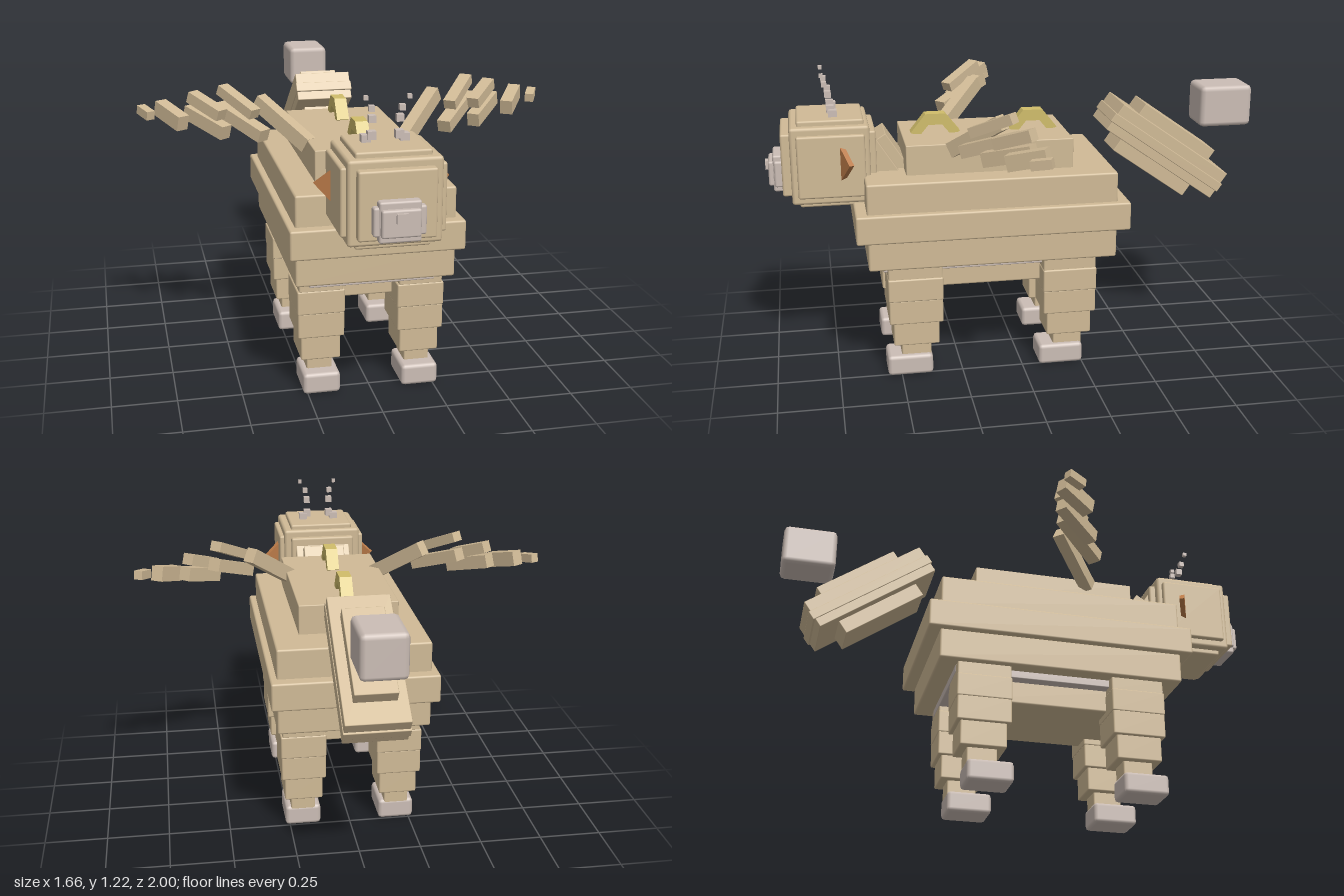
import * as THREE from 'three';
import { RoundedBoxGeometry } from 'three/addons/geometries/RoundedBoxGeometry.js';

const mat = (name, color) => {
  const m = new THREE.MeshStandardMaterial({ color });
  m.name = name;
  return m;
};

export function createModel() {
  const root = new THREE.Group();
  root.name = 'blockyWingedBeast';
  const tan = mat('tan', 0xd0ba96);
  const grey = mat('warmGrey', 0xcbbdb5);
  const gold = mat('gold', 0xd0bd6a);
  const brown = mat('earBrown', 0xba7a48);

  const group = (name, parent = root) => {
    const g = new THREE.Group();
    g.name = name;
    parent.add(g);
    return g;
  };
  const add = (name, geo, material, parent = root) => {
    const m = new THREE.Mesh(geo, material);
    m.name = name;
    parent.add(m);
    return m;
  };
  // box given by its limits on each axis, with an optional small bevel
  const block = (name, [x0, x1], [y0, y1], [z0, z1], material, parent, bevel = 0.008) => {
    const w = x1 - x0, h = y1 - y0, d = z1 - z0;
    const geo = bevel ? new RoundedBoxGeometry(w, h, d, 1, bevel) : new THREE.BoxGeometry(w, h, d);
    const m = add(name, geo, material, parent);
    m.position.set((x0 + x1) / 2, (y0 + y1) / 2, (z0 + z1) / 2);
    return m;
  };
  const sym = (a) => [-a, a];

  // stacked body layers
  const body = group('body');
  block('backLayer', sym(0.2), [0.82, 0.95], [-0.215, 0.455], tan, body, 0.004);
  block('upperLayer', sym(0.305), [0.7, 0.83], [-0.375, 0.62], tan, body);
  block('middleLayer', sym(0.332), [0.595, 0.71], [-0.425, 0.665], tan, body);
  block('lowerLayer', sym(0.305), [0.475, 0.6], [-0.375, 0.62], tan, body);
  block('bellyPlate', sym(0.243), [0.445, 0.48], [-0.3, 0.56], grey, body, 0.004);
  block('belly', sym(0.2), [0.355, 0.46], [-0.2, 0.45], tan, body);

  // legs: [half width, half depth, bottom, top]
  const legLayers = [
    [0.085, 0.108, 0.42, 0.48], [0.092, 0.11, 0.33, 0.425], [0.09, 0.108, 0.233, 0.335],
    [0.077, 0.092, 0.135, 0.24], [0.05, 0.06, 0.07, 0.14],
  ];
  for (const side of [-1, 1]) {
    for (const [name, z, footZ] of [['frontLeg', 0.437, 0.464], ['backLeg', -0.19, -0.16]]) {
      const leg = group(name);
      const x = side * 0.195;
      for (const [w, d, y0, y1] of legLayers)
        block('legLayer', [x - w, x + w], [y0, y1], [z - d, z + d], tan, leg, 0.006);
      block('foot', [x - 0.073, x + 0.073], [0, 0.085], [footZ - 0.092, footZ + 0.092], grey, leg, 0.015);
    }
  }

  // head with stepped edges
  const head = group('head');
  block('cheeks', sym(0.19), [0.75, 1.0], [0.61, 0.875], tan, head);
  block('face', sym(0.14), [0.75, 1.0], [0.565, 0.935], tan, head);
  block('crown', sym(0.137), [0.7, 1.05], [0.61, 0.87], tan, head);
  block('headCore', sym(0.17), [0.72, 1.03], [0.59, 0.9], tan, head, 0.012);
  block('snout', sym(0.094), [0.775, 0.88], [0.89, 0.965], grey, head);
  block('muzzle', sym(0.075), [0.752, 0.9], [0.89, 0.97], grey, head);
  block('muzzleFront', sym(0.07), [0.775, 0.875], [0.92, 0.988], grey, head);
  block('nose', sym(0.02), [0.83, 0.865], [0.97, 1.0], grey, head, 0);

  // ears and floating antenna cubes
  const earShape = new THREE.Shape([[0, 0.955], [0, 0.82], [0.075, 0.895]].map((p) => new THREE.Vector2(...p)));
  const earGeo = new THREE.ExtrudeGeometry(earShape, { depth: 0.02, bevelEnabled: false });
  const antenna = [
    [0.07, 1.06, 0.727, 0.034], [0.05, 1.075, 0.735, 0.03], [0.05, 1.135, 0.742, 0.026],
    [0.055, 1.175, 0.755, 0.021], [0.078, 1.215, 0.765, 0.015],
  ];
  for (const side of [-1, 1]) {
    const ear = add('ear', earGeo, brown, head);
    ear.position.set(side * 0.18, 0, side > 0 ? 0.69 : 0.71);
    ear.rotation.y = side > 0 ? 0.45 : Math.PI - 0.45;
    for (const [x, y, z, s] of antenna) {
      const cube = add('antennaCube', new THREE.BoxGeometry(s, s, s), grey, head);
      cube.position.set(side * x, y, z);
    }
  }

  // tilted neck and tail stacks, built along local z
  const neck = group('neck');
  neck.position.set(0, 0.84, 0.55);
  neck.rotation.x = -1.0;
  block('neckCore', sym(0.12), [-0.055, 0.055], [-0.13, 0.14], tan, neck, 0.004);
  block('neckRidge', sym(0.09), [-0.09, 0.095], [-0.1, 0.1], tan, neck, 0.004);

  const tail = group('tail');
  tail.position.set(0, 0.845, -0.632);
  tail.rotation.x = -0.61;
  block('tailSlab', sym(0.12), [-0.058, 0.067], [-0.278, 0.278], tan, tail, 0.003);
  block('tailBand', sym(0.123), [-0.02, 0.02], [-0.286, 0.286], tan, tail, 0.003);
  block('tailRidge', sym(0.08), [-0.117, 0.117], [-0.187, 0.187], tan, tail, 0.003);
  block('tailTip', sym(0.086), [0.937, 1.108], [-1.0, -0.78], grey, root, 0.02);

  // arched grips along the spine
  const arch = new THREE.Shape([
    [-0.1, 0.955], [-0.04, 1.03], [0.04, 1.03], [0.1, 0.955],
    [0.065, 0.94], [0.028, 0.985], [-0.028, 0.985], [-0.065, 0.94],
  ].map((p) => new THREE.Vector2(...p)));
  const archGeo = new THREE.ExtrudeGeometry(arch, { depth: 0.05, bevelEnabled: false })
    .translate(0, 0, -0.025).rotateY(Math.PI / 2);
  for (const z of [0.318, -0.083]) add('spineArch', archGeo, gold).position.z = z;

  // wing beams: inner end, outer end, width, height
  const beams = [
    [[0.19, 0.925, 0.27], [0.36, 1.07, 0.1], 0.05, 0.06],
    [[0.39, 1.045, 0.22], [0.5, 1.12, 0.08], 0.05, 0.04],
    [[0.36, 0.965, 0.25], [0.51, 1.045, 0.07], 0.055, 0.05],
    [[0.51, 1.03, 0.15], [0.615, 1.085, 0.03], 0.05, 0.045],
    [[0.5, 0.97, 0.19], [0.63, 1.025, 0.03], 0.05, 0.055],
    [[0.66, 1.0, 0.13], [0.74, 1.04, 0.0], 0.05, 0.06],
    [[0.78, 1.022, 0.07], [0.815, 1.036, 0.0], 0.035, 0.035],
  ];
  for (const side of [-1, 1]) {
    const wing = group(side > 0 ? 'leftWing' : 'rightWing');
    for (const [a, b, w, h] of beams) {
      const p = new THREE.Vector3(side * a[0], a[1], a[2]);
      const q = new THREE.Vector3(side * b[0], b[1], b[2]);
      const beam = add('wingBeam', new THREE.BoxGeometry(w, h, p.distanceTo(q)), tan, wing);
      beam.position.copy(p).lerp(q, 0.5);
      beam.lookAt(q);
    }
  }
  return root;
}
